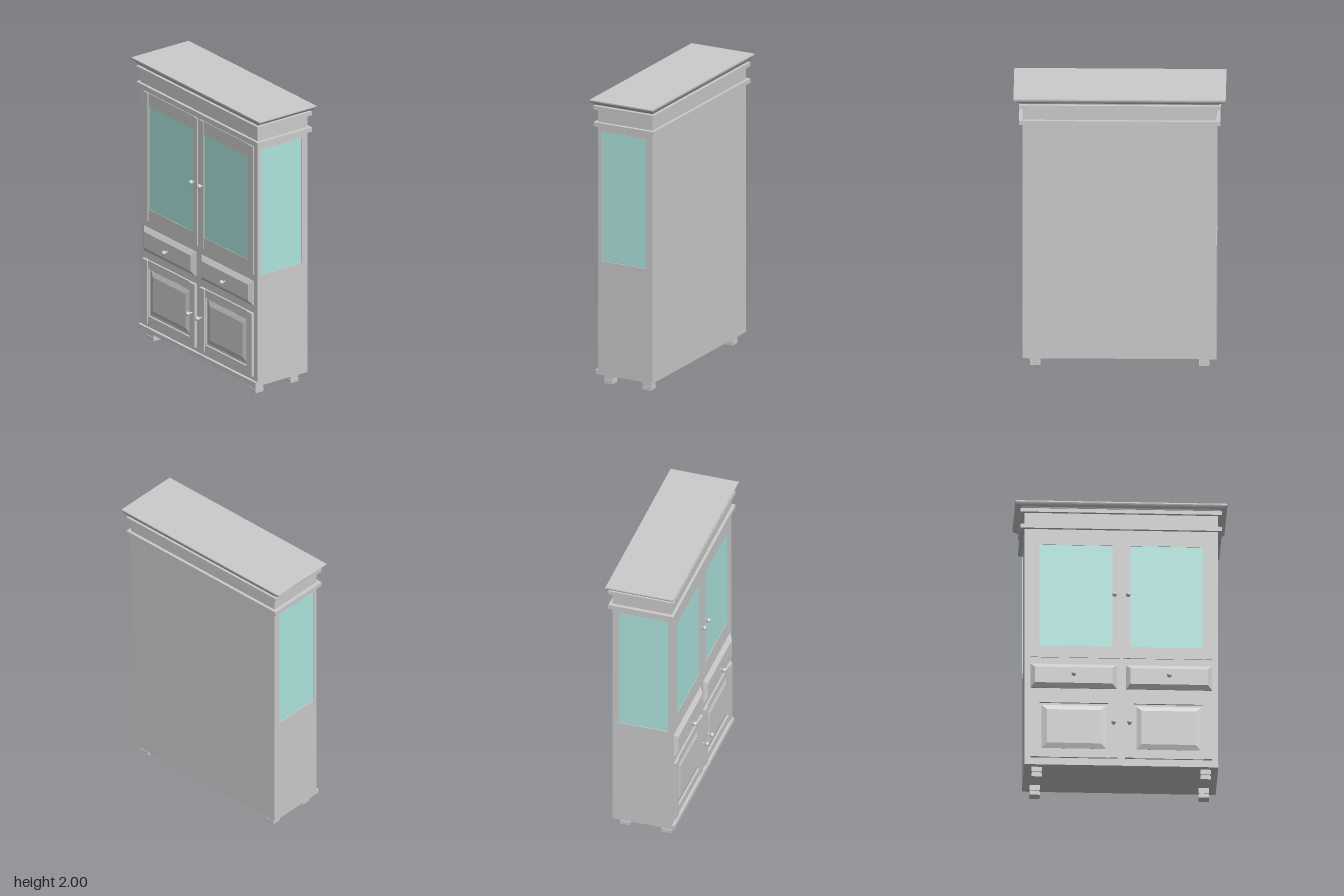
import * as THREE from 'three';

const grey = new THREE.MeshStandardMaterial({ color: 0xcccccc });
const glass = new THREE.MeshStandardMaterial({ color: 0xaee6e0 });

function add(parent, name, geometry, material = grey) {
  const mesh = new THREE.Mesh(geometry, material);
  mesh.name = name;
  parent.add(mesh);
  return mesh;
}

// Box given by its extents on each axis
function box(parent, name, [x0, x1], [y0, y1], [z0, z1], material) {
  const mesh = add(parent, name, new THREE.BoxGeometry(x1 - x0, y1 - y0, z1 - z0), material);
  mesh.position.set((x0 + x1) / 2, (y0 + y1) / 2, (z0 + z1) / 2);
  return mesh;
}

// Stack of rectangles [y, x0, x1, z0, z1] joined into a faceted solid
function loft(levels) {
  const rings = levels.map(([y, x0, x1, z0, z1]) => [[x0, y, z1], [x1, y, z1], [x1, y, z0], [x0, y, z0]]);
  const pos = [];
  const quad = (a, b, c, d) => pos.push(...a, ...b, ...c, ...a, ...c, ...d);
  for (let i = 0; i + 1 < rings.length; i++) {
    for (let k = 0; k < 4; k++) {
      const n = (k + 1) % 4;
      quad(rings[i][k], rings[i][n], rings[i + 1][n], rings[i + 1][k]);
    }
  }
  quad(...rings[rings.length - 1]);
  quad(...[...rings[0]].reverse());
  const g = new THREE.BufferGeometry();
  g.setAttribute('position', new THREE.Float32BufferAttribute(pos, 3));
  g.computeVertexNormals();
  return g;
}

function rectPath(path, [x0, x1], [y0, y1]) {
  path.moveTo(x0, y0);
  path.lineTo(x1, y0);
  path.lineTo(x1, y1);
  path.lineTo(x0, y1);
  path.closePath();
  return path;
}

// Rectangular panel with a rectangular opening, extruded along +z from z0
function frame(parent, name, xs, ys, holeX, holeY, z0, depth) {
  const shape = rectPath(new THREE.Shape(), xs, ys);
  shape.holes.push(rectPath(new THREE.Path(), holeX, holeY));
  const mesh = add(parent, name, new THREE.ExtrudeGeometry(shape, { depth, bevelEnabled: false }));
  mesh.position.z = z0;
  return mesh;
}

// Raised rectangular panel whose edges slope inward
function bevelPanel(parent, name, [x0, x1], [y0, y1], z0, z1, inset) {
  const w = (x1 - x0) / 2, h = (y1 - y0) / 2;
  const mesh = add(parent, name, loft([
    [z0, -w, w, -h, h],
    [z0 + (z1 - z0) * 0.2, -w, w, -h, h],
    [z1, -w + inset, w - inset, -h + inset, h - inset],
  ]));
  mesh.rotation.x = Math.PI / 2;
  mesh.position.set((x0 + x1) / 2, (y0 + y1) / 2, 0);
}

// Turned knob standing out along +z
function knob(parent, x, y, z0, z1) {
  const r = 0.016;
  const stem = add(parent, 'knobStem', new THREE.CylinderGeometry(0.006, 0.006, z1 - z0, 12));
  stem.rotation.x = Math.PI / 2;
  stem.position.set(x, y, (z0 + z1) / 2);
  add(parent, 'knob', new THREE.SphereGeometry(r, 16, 12)).position.set(x, y, z1);
}

export function createModel() {
  const root = new THREE.Group();
  root.name = 'displayCabinet';

  // Carcass with glazed sides
  box(root, 'carcass', [-0.19, 0.225], [0.07, 1.96], [-0.635, 0.635]);
  for (const s of [1, -1]) {
    const side = new THREE.Group();
    side.name = s > 0 ? 'leftSide' : 'rightSide';
    side.rotation.y = s > 0 ? 0 : Math.PI;
    const xs = (a, b) => (s > 0 ? [a, b] : [-b, -a]);
    frame(side, 'sidePanel', xs(-0.19, 0.225), [0.07, 1.96], xs(-0.165, 0.175), [0.865, 1.77], 0.635, 0.01);
    box(side, 'sideGlass', xs(-0.165, 0.175), [0.865, 1.77], [0.63, 0.639], glass);
    root.add(side);
  }

  // Cornice mouldings and coved crown
  for (const ys of [[1.805, 1.836], [1.923, 1.95]]) {
    box(root, 'cornice', [-0.21, 0.245], ys, [-0.67, 0.67]);
  }
  const cove = [[1.957, 0], [1.963, 0.12], [1.969, 0.35], [1.977, 0.65], [1.985, 0.88], [1.992, 1], [2, 1]];
  add(root, 'crown', loft(cove.map(([y, t]) =>
    [y, -0.2 - 0.022 * t, 0.235 + 0.02 * t, -0.66 - 0.046 * t, 0.66 + 0.046 * t])));

  // Stepped feet
  for (const x of [-0.138, 0.152]) {
    for (const z of [-0.563, 0.563]) {
      const foot = new THREE.Group();
      foot.name = 'foot';
      foot.position.set(x, 0, z);
      box(foot, 'footBase', [-0.033, 0.033], [0, 0.025], [-0.035, 0.035]);
      box(foot, 'footNeck', [-0.027, 0.027], [0.025, 0.035], [-0.029, 0.029]);
      box(foot, 'footBlock', [-0.033, 0.033], [0.035, 0.07], [-0.035, 0.035]);
      root.add(foot);
    }
  }

  // Door side of the cabinet: local x runs along world z, local z points to -x
  const facade = new THREE.Group();
  facade.name = 'facade';
  facade.rotation.y = -Math.PI / 2;
  root.add(facade);
  box(facade, 'plinth', [-0.645, 0.645], [0.07, 0.1], [0.18, 0.21]);

  for (const s of [1, -1]) {
    const xs = (a, b) => (s > 0 ? [a, b] : [-b, -a]);

    // Glazed upper door
    const upper = new THREE.Group();
    upper.name = 'upperDoor';
    facade.add(upper);
    frame(upper, 'doorFrame', xs(0.012, 0.605), [0.865, 1.785], xs(0.06, 0.545), [0.95, 1.69], 0.188, 0.007);
    for (const [a, b] of [[0.012, 0.055], [0.555, 0.605]]) {
      box(upper, 'doorStile', xs(a, b), [0.865, 1.785], [0.19, 0.2]);
    }
    box(upper, 'doorGlass', xs(0.06, 0.545), [0.95, 1.69], [0.185, 0.1915], glass);
    knob(upper, s * 0.045, 1.32, 0.195, 0.225);

    // Drawer with sloping edges
    const drawer = new THREE.Group();
    drawer.name = 'drawer';
    facade.add(drawer);
    bevelPanel(drawer, 'drawerFront', xs(0.03, 0.605), [0.64, 0.815], 0.19, 0.216, 0.03);
    knob(drawer, s * 0.318, 0.725, 0.21, 0.245);

    // Panelled lower door
    const lower = new THREE.Group();
    lower.name = 'lowerDoor';
    facade.add(lower);
    frame(lower, 'doorFrame', xs(0.025, 0.605), [0.13, 0.585], xs(0.085, 0.545), [0.185, 0.53], 0.188, 0.015);
    for (const [a, b] of [[0.025, 0.08], [0.55, 0.605]]) {
      box(lower, 'doorStile', xs(a, b), [0.13, 0.585], [0.19, 0.21]);
    }
    bevelPanel(lower, 'doorPanel', xs(0.1, 0.53), [0.2, 0.515], 0.188, 0.202, 0.035);
    knob(lower, s * 0.053, 0.375, 0.205, 0.245);
  }
  return root;
}
